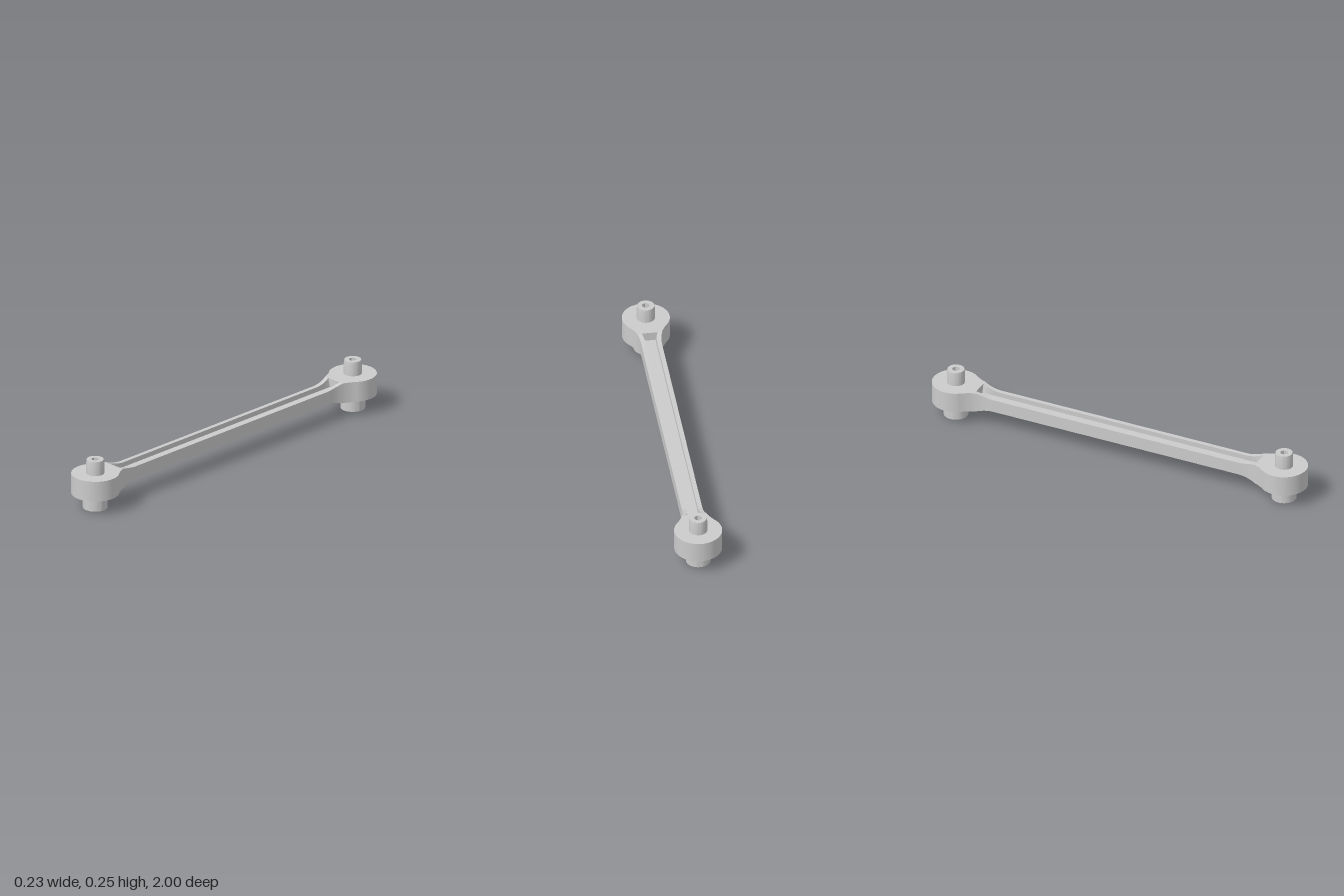
import * as THREE from 'three';
import { toCreasedNormals } from 'three/addons/utils/BufferGeometryUtils.js';

const MID = 0.13;        // height of the bar's centre line
const HEAD_R = 0.116, HEAD_Z = 0.884, HEAD_H = 0.0515;
const BAR_W = 0.05, BAR_H = 0.0325, WEB_H = 0.008;
const NECK_Z = 0.69, POCKET_Z = 0.755, RIM = 0.022;

// radius of the neck fillet, tangent to both the bar side and the round head
const D = HEAD_Z - NECK_Z;
const FILLET = (BAR_W ** 2 + D ** 2 - HEAD_R ** 2) / (2 * (HEAD_R - BAR_W));
const FILLET_X = BAR_W + FILLET;

const material = new THREE.MeshStandardMaterial({ color: 0xcccccc });
const doubleSided = new THREE.MeshStandardMaterial({ color: 0xcccccc, side: THREE.DoubleSide });

function add(parent, name, geometry, mat = material) {
  const mesh = new THREE.Mesh(geometry, mat);
  mesh.name = name;
  parent.add(mesh);
  return mesh;
}

// I-shaped section of the bar at a distance z from the middle
function section(z) {
  const a = Math.abs(z);
  const n = Math.max(0, a - NECK_Z);
  const w = FILLET_X - Math.sqrt(FILLET ** 2 - n ** 2);
  const t = Math.max(0, (a - 0.665) / (POCKET_Z - 0.665));
  const h = BAR_H + (HEAD_H - BAR_H) * t ** 1.5;
  const floor = BAR_W - RIM;
  const quarter = [[w, h], [w - RIM, h], [floor, WEB_H]];
  const top = [...quarter, ...quarter.map(([x, y]) => [-x, y]).reverse()];
  return [...top, ...top.map(([x, y]) => [-x, -y])];
}

// Bar lofted through its sections
function barGeometry() {
  const half = [0.665];
  for (let i = 1; i <= 12; i++) half.push(0.665 + (POCKET_Z - 0.665) * i / 12);
  const stations = [...half.map(z => -z).reverse(), ...half];
  const positions = [], index = [];
  stations.forEach((z, s) => {
    const ring = section(z);
    const n = ring.length;
    ring.forEach(([x, y], i) => {
      positions.push(x, y + MID, z);
      if (s === 0) return;
      const a = (s - 1) * n + i, b = (s - 1) * n + (i + 1) % n;
      index.push(a, b, b + n, a, b + n, a + n);
    });
  });
  const geometry = new THREE.BufferGeometry();
  geometry.setAttribute('position', new THREE.Float32BufferAttribute(positions, 3));
  geometry.setIndex(index);
  return toCreasedNormals(geometry, 0.5);
}

// Round head with its flared neck; the flat neck face closes the pockets
function headGeometry() {
  const start = Math.asin((POCKET_Z - NECK_Z) / FILLET);
  const end = Math.atan2(D, FILLET_X);
  const shape = new THREE.Shape();
  shape.absarc(FILLET_X, NECK_Z, FILLET, Math.PI - start, Math.PI - end, true);
  shape.absarc(0, HEAD_Z, HEAD_R, -end, Math.PI + end, false);
  shape.absarc(-FILLET_X, NECK_Z, FILLET, end, start, true);
  shape.closePath();
  const geometry = new THREE.ExtrudeGeometry(shape, { depth: 2 * HEAD_H, bevelEnabled: false, curveSegments: 40 });
  geometry.rotateX(Math.PI / 2).translate(0, MID + HEAD_H, 0);
  return toCreasedNormals(geometry, 0.5);
}

// Turned pin with a socket of the given number of sides in its end face
function addPin(parent, name, profile, endY, endR, holeR, sides, depth) {
  const pin = new THREE.Group();
  pin.name = name;
  pin.position.z = HEAD_Z;
  parent.add(pin);
  const up = endY > MID ? 1 : -1;
  const points = profile.map(([r, y]) => new THREE.Vector2(r, y));
  add(pin, name + 'Side', toCreasedNormals(new THREE.LatheGeometry(points, 48), 0.5));

  const face = new THREE.Shape().absarc(0, 0, endR, 0, Math.PI * 2);
  const hole = [];
  for (let i = 0; i < sides; i++) {
    const a = i / sides * Math.PI * 2;
    hole.push(new THREE.Vector2(holeR * Math.sin(a), holeR * Math.cos(a)));
  }
  face.holes.push(new THREE.Path(hole));
  add(pin, name + 'EndFace', new THREE.ShapeGeometry(face, 24)
    .rotateX(-up * Math.PI / 2).translate(0, endY, 0));

  const wall = new THREE.CylinderGeometry(holeR, holeR, depth, sides, 1, true);
  add(pin, name + 'SocketWall', toCreasedNormals(wall, 0.5), doubleSided).position.y = endY - up * depth / 2;
  const floor = new THREE.ShapeGeometry(new THREE.Shape(hole)).rotateX(-up * Math.PI / 2);
  add(pin, name + 'SocketFloor', floor, doubleSided).position.y = endY - up * depth;
}

export function createModel() {
  const model = new THREE.Group();
  model.name = 'connectingLink';
  add(model, 'channelledBar', barGeometry());

  // The same head and pins at both ends
  for (const [name, turn] of [['frontEnd', 0], ['backEnd', Math.PI]]) {
    const end = new THREE.Group();
    end.name = name;
    end.rotation.y = turn;
    model.add(end);
    add(end, 'head', headGeometry());
    addPin(end, 'upperPin', [[0.044, 0.17], [0.044, 0.235], [0.041, 0.253]], 0.253, 0.041, 0.02, 6, 0.05);
    addPin(end, 'lowerPin', [[0.058, 0], [0.06, 0.003], [0.06, 0.09]], 0, 0.058, 0.016, 24, 0.05);
  }
  return model;
}
